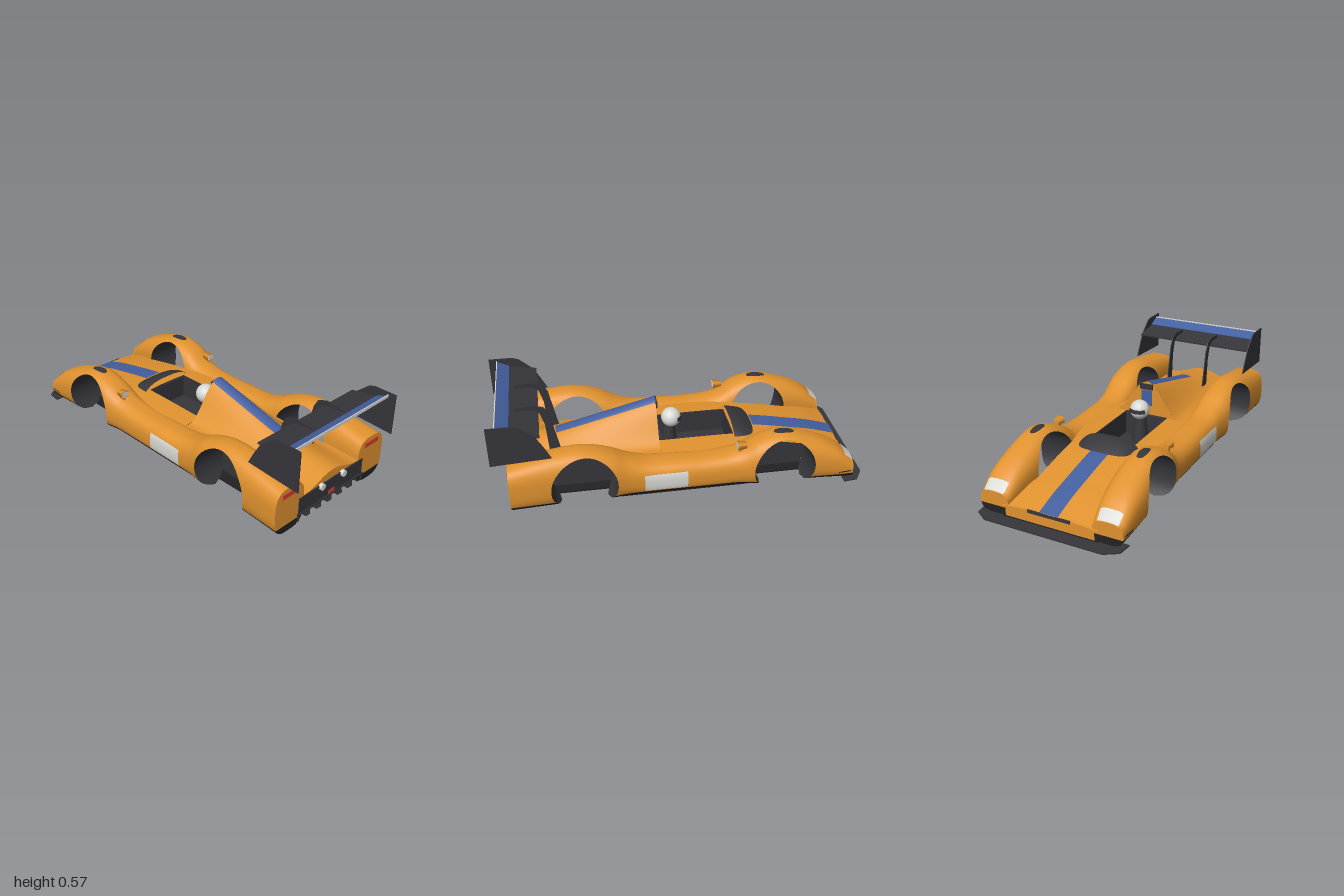
import * as THREE from 'three';

const mat = (name, color) => {
  const m = new THREE.MeshStandardMaterial({ color, side: THREE.DoubleSide });
  m.name = name;
  return m;
};
const orange = mat('orange paint', 0xe0922f), dark = mat('dark grey', 0x36363b), black = mat('black', 0x222224);
const blue = mat('blue stripe', 0x4560a0), silver = mat('silver white', 0xd8d8d4), red = mat('red lamp', 0xd63a2e);

// Smooth (or straight) interpolation through rows of [z, value, value...]
function keyed(rows, col, z, smooth = true) {
  const n = rows.length - 1;
  if (z <= rows[0][0]) return rows[0][col];
  if (z >= rows[n][0]) return rows[n][col];
  let i = 0;
  while (z > rows[i + 1][0]) i++;
  const [a, b] = [rows[i], rows[i + 1]], h = b[0] - a[0], t = (z - a[0]) / h;
  if (!smooth) return a[col] + (b[col] - a[col]) * t;
  const slope = k => {
    const p = rows[Math.max(k - 1, 0)], q = rows[Math.min(k + 1, n)];
    return (q[col] - p[col]) / (q[0] - p[0]);
  };
  const t2 = t * t, t3 = t2 * t;
  return (2 * t3 - 3 * t2 + 1) * a[col] + (t3 - 2 * t2 + t) * h * slope(i)
    + (3 * t2 - 2 * t3) * b[col] + (t3 - t2) * h * slope(i + 1);
}

const steps = (a, b, n) => Array.from({ length: n + 1 }, (_, i) => a + (b - a) * i / n);

// Part of the surface P(z, a) between a0(z) and a1(z), with smooth normals
function patch(P, zs, a0, a1, n, off = 0) {
  const pos = [], nor = [], idx = [], e = 0.004;
  const diff = (p, q) => new THREE.Vector3(...p).sub(new THREE.Vector3(...q));
  zs.forEach((z, i) => {
    for (let j = 0; j <= n; j++) {
      const a = a0(z) + (a1(z) - a0(z)) * j / n;
      const N = diff(P(z, a + e), P(z, a - e)).cross(diff(P(z + e, a), P(z - e, a))).normalize();
      const p = new THREE.Vector3(...P(z, a)).addScaledVector(N, off);
      pos.push(p.x, p.y, p.z);
      nor.push(N.x, N.y, N.z);
      if (i && j) {
        const d = i * (n + 1) + j, c = d - 1, b = d - n - 1, k = b - 1;
        idx.push(k, b, c, b, d, c);
      }
    }
  });
  const g = new THREE.BufferGeometry();
  g.setAttribute('position', new THREE.Float32BufferAttribute(pos, 3));
  g.setAttribute('normal', new THREE.Float32BufferAttribute(nor, 3));
  g.setIndex(idx);
  return g;
}

// Side pod with both fenders: z, inner x, outer x, top y, corner power
const POD = [[-0.925, 0.235, 0.4, 0.125, 0.7], [-0.83, 0.22, 0.41, 0.205, 0.75], [-0.7, 0.205, 0.415, 0.268, 0.8],
  [-0.53, 0.2, 0.416, 0.31, 0.8], [-0.4, 0.2, 0.415, 0.28, 0.8], [-0.3, 0.2, 0.393, 0.222, 0.8],
  [-0.15, 0.2, 0.386, 0.198, 0.75], [0.05, 0.2, 0.386, 0.2, 0.75], [0.2, 0.2, 0.387, 0.207, 0.75],
  [0.3, 0.2, 0.395, 0.24, 0.8], [0.38, 0.2, 0.41, 0.28, 0.8], [0.48, 0.2, 0.415, 0.312, 0.8],
  [0.58, 0.205, 0.415, 0.322, 0.8], [0.75, 0.21, 0.415, 0.298, 0.72], [0.92, 0.21, 0.415, 0.265, 0.62]];
const BOTTOM = 0.008, SILL = 0.05, HUB = 0.125;
const ARCHES = [[-0.535, 0.166], [0.535, 0.174]];
const spow = (v, p) => Math.sign(v) * Math.abs(v) ** p;
const podTop = z => keyed(POD, 3, z);
function podP(z, a) {
  const xi = keyed(POD, 1, z), xo = keyed(POD, 2, z), t = podTop(z), p = keyed(POD, 4, z);
  return [(xi + xo) / 2 + (xo - xi) / 2 * spow(Math.cos(a), p), (t + BOTTOM) / 2 + (t - BOTTOM) / 2 * spow(Math.sin(a), p), z];
}
function angleAt(z, y) {
  const t = podTop(z), v = THREE.MathUtils.clamp((2 * y - t - BOTTOM) / (t - BOTTOM), -1, 1);
  return Math.asin(spow(v, 1 / keyed(POD, 4, z)));
}
const archHalf = z => Math.max(...ARCHES.map(([c, r]) => Math.sqrt(Math.max(0, r * r - (z - c) ** 2))));
const archTop = z => HUB + archHalf(z), archLow = z => HUB - archHalf(z);
const archZs = ([c, r]) => steps(0, Math.PI, 36).map(t => c - r * Math.cos(t));

// Centre body: half width, nose height and tail height
const WIDTH = [[-0.93, 0.27], [-0.72, 0.2], [-0.36, 0.2], [-0.31, 0.29], [0.3, 0.29], [0.36, 0.2], [0.71, 0.2], [0.78, 0.24], [0.92, 0.24]];
const NOSE = [[-0.93, 0.068], [-0.8, 0.108], [-0.7, 0.13], [-0.45, 0.178], [-0.31, 0.19], [0.11, 0.19]];
const W = z => keyed(WIDTH, 1, z, false);
const noseP = (z, a) => [-a, keyed(NOSE, 1, z) + 0.012 * (1 - (a / 0.25) ** 2), z];
function tailP(z, a) {
  const deck = 0.19 - (z - 0.11) * 0.037, ridge = 0.396 - (z - 0.11) * 0.268 + 0.03 * Math.max(0, (z - 0.6) / 0.32) ** 2;
  return [-a, deck + (ridge - deck) * Math.cos(Math.min(Math.abs(a) / 0.42, 0.5) * Math.PI) ** 2, z];
}

export function createModel() {
  const car = new THREE.Group();
  car.name = 'raceCar';
  const add = (parent, name, geo, m, x = 0, y = 0, z = 0) => {
    const mesh = new THREE.Mesh(geo, m);
    mesh.name = name;
    mesh.position.set(x, y, z);
    parent.add(mesh);
    return mesh;
  };
  const box = (parent, name, m, w, h, d, x, y, z) => add(parent, name, new THREE.BoxGeometry(w, h, d), m, x, y, z);
  const flat = pts => new THREE.ShapeGeometry(new THREE.Shape(pts.map(p => new THREE.Vector2(p[0], p[1]))));
  // Plate drawn in (z, y), with thickness along x
  const sidePlate = (parent, name, m, pts, x, t) => {
    const s = new THREE.Shape(pts.map(([z, y]) => new THREE.Vector2(-z, y)));
    const g = new THREE.ExtrudeGeometry(s, { depth: t, bevelEnabled: false });
    g.rotateY(Math.PI / 2).translate(x - t / 2, 0, 0);
    return add(parent, name, g, m);
  };
  // Plate drawn in (x, z), mirrored about x = 0
  const floorPlate = (name, m, half, y, t) => {
    const pts = [...half, ...half.map(([x, z]) => [-x, z]).reverse()];
    const g = new THREE.ExtrudeGeometry(new THREE.Shape(pts.map(([x, z]) => new THREE.Vector2(x, -z))), { depth: t, bevelEnabled: false });
    g.rotateX(-Math.PI / 2);
    return add(car, name, g, m, 0, y, 0);
  };

  const podZs = [...steps(-0.925, -0.701, 14).slice(0, -1), ...archZs(ARCHES[0]), ...steps(-0.369, 0.361, 30).slice(1, -1),
    ...archZs(ARCHES[1]), ...steps(0.709, 0.92, 10).slice(1)];
  for (const side of [1, -1]) {
    const pod = new THREE.Group();
    pod.name = side > 0 ? 'leftSide' : 'rightSide';
    pod.scale.x = side;
    car.add(pod);
    // Bodywork over, beside and under the wheel arches
    const low = z => angleAt(z, Math.min(SILL, archLow(z)));
    const mid = z => angleAt(z, Math.max(SILL, archLow(z))), sill = z => angleAt(z, SILL), up = z => angleAt(z, archTop(z));
    add(pod, 'fenderTop', patch(podP, podZs, up, z => Math.PI - up(z), 28), orange);
    add(pod, 'outerFlank', patch(podP, podZs, sill, mid, 5), orange);
    add(pod, 'innerFlank', patch(podP, podZs, z => Math.PI - mid(z), z => Math.PI - sill(z), 5), orange);
    add(pod, 'sill', patch(podP, podZs, z => Math.PI - low(z), z => 2 * Math.PI + low(z), 16), black);
    for (const z of [-0.925, 0.92]) {
      const s = sill(z), cap = (a, b) => flat(steps(a, b, 32).map(t => podP(z, t)));
      add(pod, 'endCap', cap(s, Math.PI - s), orange, 0, 0, z);
      add(pod, 'endCapSill', cap(Math.PI - s, 2 * Math.PI + s), black, 0, 0, z);
    }
    // Wheel arch liners and inner walls
    for (const arch of ARCHES) {
      for (const f of [archTop, archLow]) {
        const liner = (z, a) => [a, f(z), z];
        const g = patch(liner, archZs(arch), z => podP(z, Math.PI - angleAt(z, f(z)))[0], z => podP(z, angleAt(z, f(z)))[0], 2);
        g.computeVertexNormals();
        add(pod, 'archLiner', g, dark);
      }
      const top = arch[0] < 0 ? noseP : tailP;
      add(pod, 'archInnerWall', patch((z, a) => [0.2, a, z], steps(arch[0] - 0.18, arch[0] + 0.18, 12), () => 0.005, z => top(z, 0.2)[1], 1), dark);
    }
    // Painted details
    add(pod, 'sidePanel', patch(podP, steps(-0.01, 0.22, 8), z => angleAt(z, 0.06), z => angleAt(z, 0.155), 8, 0.003), silver);
    add(pod, 'headlight', patch(podP, steps(-0.924, -0.875, 5), () => 0.95, () => 2.15, 10, 0.003), silver);
    const oval = z => 0.15 * Math.sqrt(Math.max(0, 1 - ((z + 0.54) / 0.056) ** 2));
    add(pod, 'fenderVent', patch(podP, steps(-0.596, -0.484, 16), z => Math.PI / 2 - oval(z), z => Math.PI / 2 + oval(z), 4, 0.003), dark);
    add(pod, 'noseSlit', patch(podP, steps(-0.91, -0.84, 4), z => angleAt(z, 0.066), z => angleAt(z, 0.073), 1, 0.003), black);
    box(pod, 'tailLamp', red, 0.108, 0.024, 0.004, 0.314, 0.227, 0.922);
    // Mirror
    box(pod, 'mirrorStalk', orange, 0.012, 0.04, 0.02, 0.33, 0.228, -0.305);
    const shell = add(pod, 'mirrorShell', new THREE.CylinderGeometry(0.032, 0.022, 0.05, 4, 1).rotateY(Math.PI / 4).rotateX(Math.PI / 2), orange, 0.33, 0.256, -0.31);
    shell.scale.y = 0.75;
    box(pod, 'mirrorGlass', silver, 0.04, 0.026, 0.004, 0.33, 0.256, -0.284);
    // Cockpit shoulder and wall
    add(pod, 'cockpitShoulder', patch(noseP, steps(-0.31, 0.11, 8), () => -0.29, () => -0.13, 6), orange);
    box(pod, 'cockpitWall', dark, 0.006, 0.17, 0.42, 0.13, 0.113, -0.1);
    // Wing end plate and swan-neck support
    sidePlate(pod, 'wingEndPlate', dark, [[1, 0.517], [0.87, 0.517], [0.835, 0.505], [0.76, 0.44], [0.72, 0.37], [0.69, 0.31], [1, 0.293]], 0.359, 0.006);
    sidePlate(pod, 'wingSupport', dark, [[0.64, 0.2], [0.7, 0.2], [0.712, 0.36], [0.735, 0.435], [0.76, 0.455], [0.86, 0.462],
      [0.86, 0.476], [0.76, 0.482], [0.71, 0.465], [0.685, 0.42]], 0.119, 0.006);
    const pipe = new THREE.CylinderGeometry(0.018, 0.018, 0.03, 24).rotateX(Math.PI / 2);
    add(pod, 'exhaustPipe', pipe, silver, 0.083, 0.15, 0.922);
  }

  // Centre body
  const negW = z => -W(z);
  add(car, 'noseDeck', patch(noseP, steps(-0.93, -0.31, 31), negW, W, 16), orange);
  add(car, 'engineCover', patch(tailP, steps(0.11, 0.92, 40), negW, W, 48), orange);
  const face = (P, z, w, base) => flat([[w, base], ...steps(-w, w, 40).map(a => P(z, a)), [-w, base]]);
  add(car, 'engineCoverFront', face(tailP, 0.11, 0.22, 0.03), orange, 0, 0, 0.11);
  add(car, 'tailFace', face(tailP, 0.92, 0.24, 0.06), orange, 0, 0, 0.918);
  add(car, 'noseFace', face(noseP, -0.93, 0.25, 0.01), orange, 0, 0, -0.93);
  add(car, 'noseStripe', patch(noseP, steps(-0.93, -0.44, 16), () => -0.052, () => 0.052, 4, 0.003), blue);
  add(car, 'coverStripe', patch(tailP, steps(0.11, 0.66, 20), () => -0.034, () => 0.034, 8, 0.003), blue);
  box(car, 'coverFrontStripe', blue, 0.066, 0.09, 0.004, 0, 0.3, 0.108);
  box(car, 'airIntake', dark, 0.076, 0.032, 0.012, 0, 0.368, 0.106);
  box(car, 'noseSlot', dark, 0.24, 0.016, 0.008, 0, 0.072, -0.93);

  // Cockpit, windscreen and driver
  box(car, 'cockpitFloor', dark, 0.26, 0.01, 0.42, 0, 0.06, -0.1);
  box(car, 'cockpitFront', dark, 0.26, 0.14, 0.006, 0, 0.12, -0.31);
  box(car, 'seatBack', dark, 0.25, 0.16, 0.02, 0, 0.12, 0.097);
  const screen = (z, a) => {
    const t = (z + 0.45) / 0.14;
    return [-a, 0.172 + 0.055 * Math.sin(t * Math.PI / 2) * (1 - 0.6 * (a / 0.165) ** 4) + 0.012 * (1 - (a / 0.165) ** 2), z];
  };
  const screenHalf = z => 0.145 + 0.022 * Math.min(1, (z + 0.45) / 0.1);
  add(car, 'windscreen', patch(screen, steps(-0.45, -0.31, 10), z => -screenHalf(z), screenHalf, 16), dark);
  add(car, 'helmet', new THREE.SphereGeometry(0.055, 32, 20), silver, 0, 0.262, 0.02);
  const visor = new THREE.SphereGeometry(0.0565, 24, 6, Math.PI / 6, Math.PI * 2 / 3, 1.32, 0.42);
  add(car, 'visor', visor.rotateY(Math.PI), dark, 0, 0.262, 0.02);
  add(car, 'driverNeck', new THREE.CylinderGeometry(0.03, 0.05, 0.15, 16), dark, 0, 0.14, 0.03);

  // Rear wing
  const blade = (name, m, z0, y0, z1, y1, t) => sidePlate(car, name, m, [[z0, y0], [z1, y1], [z1, y1 + t], [z0, y0 + t]], 0, 0.715);
  blade('wingMainPlane', dark, 0.74, 0.435, 0.89, 0.46, 0.008);
  blade('wingFlap', blue, 0.89, 0.464, 0.955, 0.492, 0.008);
  box(car, 'wingTrailingLip', silver, 0.715, 0.016, 0.005, 0, 0.498, 0.956);

  // Floor, splitter and diffuser
  floorPlate('floor', black, [[0.27, -0.93], [0.26, -0.7], [0.26, -0.37], [0.34, -0.35], [0.34, 0.34], [0.26, 0.36], [0.26, 0.8]], 0.003, 0.01);
  floorPlate('splitter', dark, [[0.33, -1], [0.4, -0.955], [0.408, -0.88]], 0, 0.007);
  box(car, 'tailPanel', dark, 0.494, 0.096, 0.01, 0, 0.111, 0.919);
  box(car, 'tailPanelLip', dark, 0.51, 0.008, 0.02, 0, 0.066, 0.92);
  box(car, 'rainLamp', red, 0.046, 0.02, 0.004, 0, 0.085, 0.926);
  sidePlate(car, 'diffuserRamp', dark, [[0.78, 0.008], [0.92, 0.055], [0.92, 0.063], [0.78, 0.016]], 0, 0.5);
  for (const x of steps(-0.249, 0.249, 6))
    sidePlate(car, 'diffuserFin', dark, [[0.78, 0.01], [0.84, 0.002], [0.91, 0.004], [0.93, 0.03], [0.925, 0.066], [0.9, 0.066]], x, 0.005);
  return car;
}
